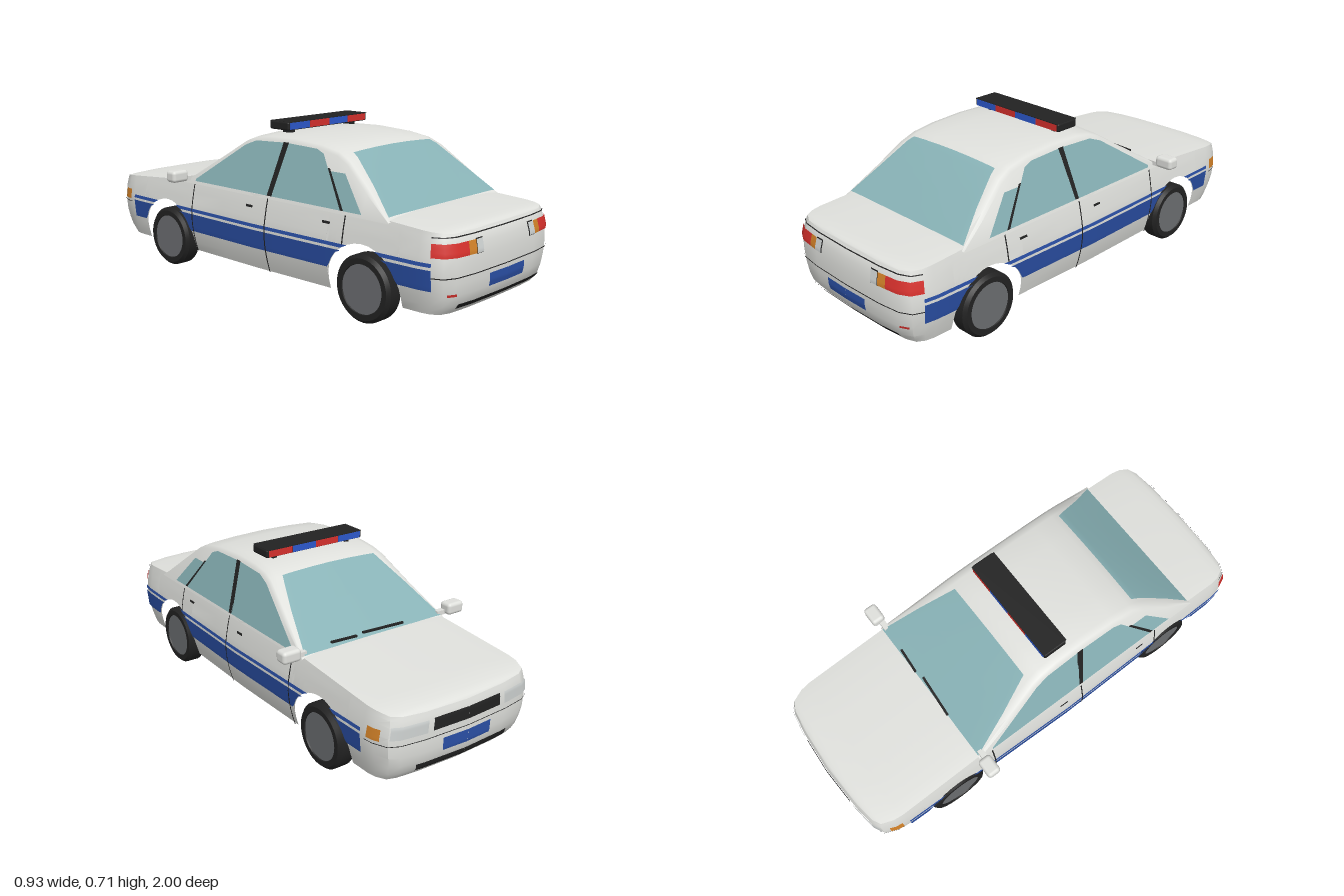
import * as THREE from 'three';
import { toCreasedNormals } from 'three/addons/utils/BufferGeometryUtils.js';
import { RoundedBoxGeometry } from 'three/addons/geometries/RoundedBoxGeometry.js';

const paint = (name, color) => Object.assign(new THREE.MeshStandardMaterial({ color }), { name });
const white = paint('white paint', 0xdfe0dc), black = paint('black trim', 0x222222);
const glass = paint('tinted glass', 0x88b2b6), blue = paint('blue stripe', 0x2a4fa5);
const red = paint('red lamp', 0xd6302c), orange = paint('orange lamp', 0xd08028);
const lampBlue = paint('blue lamp', 0x2c58cc), steel = paint('grey hub', 0x6c6e71);
const clear = paint('clear lamp', 0xcdd1d0);

// Linear lookup in a table of [key, value]
function lookup(table, t) {
  if (t <= table[0][0]) return table[0][1];
  for (let i = 1; i < table.length; i++) {
    const [a, va] = table[i - 1], [b, vb] = table[i];
    if (t <= b) return va + (vb - va) * (t - a) / (b - a);
  }
  return table[table.length - 1][1];
}

// Surface through rows of points
function grid(rows) {
  const n = rows[0].length, index = [];
  for (let i = 0; i < rows.length - 1; i++) for (let j = 0; j < n - 1; j++) {
    const a = i * n + j, d = a + n;
    index.push(a, a + 1, d + 1, a, d + 1, d);
  }
  const g = new THREE.BufferGeometry();
  g.setAttribute('position', new THREE.Float32BufferAttribute(rows.flat(2), 3));
  g.setIndex(index);
  g.computeVertexNormals();
  return g;
}

function mirrored(geo) {
  const g = geo.clone().scale(-1, 1, 1);
  g.setIndex(Array.from(g.index.array).reverse());
  g.computeVertexNormals();
  return g;
}

// Lower body rules: plan outline, width by height, end tuck by height, top and arch lines
const WIDTH = [[-0.85, 0.37], [0, 0.387], [0.85, 0.372]];
const FLARE = [[0.1, 0.93], [0.13, 0.955], [0.2, 1], [0.28, 1.02], [0.36, 0.985], [0.41, 0.955], [0.43, 0.94]];
const TUCK = [[0.1, 0.05], [0.14, 0.015], [0.2, 0], [0.33, 0], [0.38, 0.015], [0.42, 0.04]];
const TOP = [[-1, 0.365], [-0.93, 0.382], [-0.45, 0.42], [0.7, 0.42], [0.95, 0.405], [1, 0.395]];
const WHEEL_Z = [0.59, -0.585], ARCH = 0.175;
const archStations = c => [c + ARCH + 0.001,
  ...Array.from({ length: 17 }, (_, i) => c + ARCH * Math.cos(i * Math.PI / 16)), c - ARCH - 0.001];
const plan = [
  [0, 0.985], [0.2, 0.98], [0.3, 0.968], [0.345, 0.945], [0.365, 0.9], [0.372, 0.85],
  ...[...archStations(WHEEL_Z[0]), 0.2, 0, -0.2, ...archStations(WHEEL_Z[1])].map(z => [lookup(WIDTH, z), z]),
  [0.37, -0.85], [0.363, -0.9], [0.34, -0.955], [0.3, -0.975], [0.2, -0.99], [0, -1]];
const LAST = plan.length - 1;
const inArch = z => WHEEL_Z.find(c => Math.abs(z - c) < ARCH + 0.0005);
function bottom(z) {
  const c = inArch(z);
  return c === undefined ? 0.1 : 0.14 + Math.sqrt(Math.max(0, ARCH ** 2 - (z - c) ** 2));
}
function planAt(u) {
  const k = Math.min(LAST - 1, Math.max(0, Math.floor(u))), t = Math.min(1, Math.max(0, u - k));
  return [0, 1].map(i => plan[k][i] * (1 - t) + plan[k + 1][i] * t);
}
// Point on the lower body at outline position u and height y, pushed out by off
function bodyPoint(u, y, off = 0) {
  const [x, z] = planAt(u), a = planAt(u - 0.4), b = planAt(u + 0.4);
  const tx = b[0] - a[0], tz = b[1] - a[1], l = Math.hypot(tx, tz) || 1;
  const end = Math.max(0, Math.abs(z) - 0.85) / 0.15;
  return [x * lookup(FLARE, y) - off * tz / l, y, z - Math.sign(z) * end * lookup(TUCK, y) + off * tx / l];
}
function uAtZ(z) {
  let k = 0;
  while (k < LAST - 1 && plan[k + 1][1] > z) k++;
  return k + (plan[k][1] - z) / (plan[k][1] - plan[k + 1][1]);
}
function uRear(x) {
  let k = 0;
  while (plan[k + 1][0] < x) k++;
  return k + (x - plan[k][0]) / (plan[k + 1][0] - plan[k][0]);
}
function uFront(x) {
  let k = LAST;
  while (plan[k - 1][0] < x) k--;
  return k - (x - plan[k][0]) / (plan[k - 1][0] - plan[k][0]);
}
// Thin plate hugging the lower body, trimmed at the arches
function patch(u0, u1, y0, y1, off = 0.005) {
  const us = [u0];
  for (let k = Math.floor(u0) + 1; k < u1; k++) us.push(k);
  us.push(u1);
  return grid(Array.from({ length: 9 }, (_, i) => us.map(u => {
    const lo = Math.min(y1, Math.max(y0, bottom(planAt(u)[1])));
    return bodyPoint(u, lo + (y1 - lo) * i / 8, off);
  })));
}

// Cabin rules: roof line, leaning sides, rounded roof edge
const ROOF = [[-0.46, 0.42], [-0.28, 0.535], [-0.13, 0.63], [-0.08, 0.648], [0, 0.66], [0.15, 0.664],
  [0.3, 0.655], [0.4, 0.638], [0.46, 0.61], [0.58, 0.52], [0.71, 0.415]];
const cabinX = y => 0.366 - 0.32 * (y - 0.42);
function roofPoint(z, r, lift = 0, push = 0) {
  const h = lookup(ROOF, z), e = Math.max(0, Math.min(0.02, (h - 0.41) * 0.4)), a = Math.abs(r);
  const c = 0.012 * Math.max(0, h - 0.42) / 0.25;
  const y = a <= 0.88 ? h + c * (1 - (a / 0.88) ** 2) : lookup([[0.88, h], [0.975, h - 0.3 * e], [1, h - e]], a);
  return [r * cabinX(a === 1 ? y : h), y + lift, z + push];
}
const both = half => [...half, ...half.slice(0, -1).reverse().map(v => -v)];
const screen = (stops, push) => grid(stops.map(([z, k]) =>
  both([1, 0.96, 0.9, 0.75, 0.4, 0]).map(r => roofPoint(z, r * k, 0.005, push))));

function sidePlate(points) {
  const g = new THREE.ShapeGeometry(new THREE.Shape(points.map(([z, y]) => new THREE.Vector2(-z, y))));
  const p = g.attributes.position;
  for (let i = 0; i < p.count; i++) p.setXYZ(i, cabinX(p.getY(i)) + 0.004, p.getY(i), -p.getX(i));
  g.computeVertexNormals();
  return g;
}

export function createModel() {
  const car = new THREE.Group();
  car.name = 'patrolCar';
  const add = (name, geo, mat, x = 0, y = 0, z = 0, parent = car) => {
    const m = new THREE.Mesh(geo, mat);
    m.name = name;
    m.position.set(x, y, z);
    parent.add(m);
    return m;
  };
  const pair = (name, geo, mat) => {
    add(name + 'Left', geo, mat);
    add(name + 'Right', mirrored(geo), mat);
  };

  // Body walls, deck and floor
  const walls = [0, 0.04, 0.12, 0.25, 0.4, 0.55, 0.7, 0.85, 0.94, 1].map(t => {
    const half = plan.map(([, z], k) => {
      const b = bottom(z);
      return bodyPoint(k, b + (lookup(TOP, z) - b) * t);
    });
    return [...half, ...half.slice(0, -1).reverse().map(([x, y, z]) => [-x, y, z])];
  });
  add('bodyWalls', toCreasedNormals(grid(walls), 0.7), white);
  const ks = plan.map((_, k) => LAST - k);
  const deck = ks.map(k => {
    const [x, y, z] = bodyPoint(k, lookup(TOP, plan[k][1]));
    return both([1, 0.96, 0.85, 0.5, 0]).map(f => [x * f, y + 0.01 * (1 - f ** 4) * Math.min(1, x / 0.3), z]);
  });
  add('bonnetAndBoot', toCreasedNormals(grid(deck), 0.7), white);
  add('floor', grid(ks.map(k => {
    const [x, y, z] = bodyPoint(k, 0.1), w = inArch(plan[k][1]) === undefined ? x : 0.29;
    return [[-w, y, z], [w, y, z]];
  })), black);

  // Cabin shell and glass
  add('cabin', toCreasedNormals(grid(ROOF.map(([z, h]) => {
    const side = [cabinX(0.41), 0.41, z];
    return [side, ...both([1, 0.975, 0.88, 0.5, 0]).map(r => roofPoint(z, r)), [-side[0], 0.41, z]];
  })), 0.7), white);
  add('windscreen', screen([[-0.455, 0.97], [-0.28, 0.9], [-0.13, 0.8]], -0.003), glass);
  add('rearWindow', screen([[0.43, 0.82], [0.46, 0.84], [0.58, 0.9], [0.695, 0.97]], 0.003), glass);
  pair('frontDoorWindow', sidePlate([[0.075, 0.424], [0.102, 0.64], [-0.06, 0.633], [-0.12, 0.61], [-0.39, 0.433], [-0.39, 0.424]]), glass);
  pair('centrePillar', sidePlate([[0.068, 0.424], [0.095, 0.424], [0.13, 0.642], [0.1, 0.642]]), black);
  pair('rearDoorWindow', sidePlate([[0.095, 0.424], [0.13, 0.64], [0.29, 0.635], [0.33, 0.62], [0.472, 0.424]]), glass);
  pair('windowDivider', sidePlate([[0.472, 0.424], [0.366, 0.57], [0.378, 0.57], [0.488, 0.424]]), black);
  pair('quarterWindow', sidePlate([[0.488, 0.424], [0.384, 0.56], [0.46, 0.56], [0.58, 0.424]]), glass);

  // Stripes, seams and door handles
  pair('wideStripe', patch(uAtZ(0.905), uAtZ(-0.84), 0.195, 0.275), blue);
  pair('thinStripe', patch(uAtZ(0.905), uAtZ(-0.84), 0.286, 0.3), blue);
  for (const [z, y0] of [[0.5, 0.3], [0.08, 0.1], [-0.395, 0.1]])
    pair('doorSeam', patch(uAtZ(z + 0.003), uAtZ(z - 0.003), y0, 0.415, 0.007), black);
  for (const z of [0.41, -0.02]) pair('doorHandle', patch(uAtZ(z + 0.02), uAtZ(z - 0.02), 0.366, 0.376, 0.008), black);
  pair('bootSeam', patch(0, uAtZ(0.9), 0.389, 0.393), black);
  pair('rearBumperSeam', patch(0, uAtZ(0.9), 0.244, 0.248), black);
  pair('frontBumperSeam', patch(uAtZ(-0.86), LAST, 0.262, 0.265), black);

  // Rear lamps, plate and lower trim
  pair('tailLamp', patch(uRear(0.24), uAtZ(0.9), 0.32, 0.37), red);
  pair('rearIndicator', patch(uRear(0.2), uRear(0.24), 0.32, 0.37), orange);
  pair('lampFrame', patch(uRear(0.157), uRear(0.2), 0.317, 0.373, 0.003), black);
  pair('reverseLamp', patch(uRear(0.16), uRear(0.198), 0.32, 0.37, 0.006), clear);
  pair('rearReflector', patch(uRear(0.3), uRear(0.335), 0.175, 0.185), red);
  pair('rearPlate', patch(0, uRear(0.118), 0.178, 0.23, 0.008), blue);
  pair('rearLowerTrim', patch(0, uRear(0.29), 0.12, 0.141), black);

  // Nose grille, plate, intake and corner lamps
  pair('grille', patch(uFront(0.165), LAST, 0.29, 0.34), black);
  pair('frontPlate', patch(uFront(0.118), LAST, 0.192, 0.245), blue);
  pair('frontIntake', patch(uFront(0.235), LAST, 0.13, 0.162), black);
  pair('headlamp', patch(uFront(0.335), uFront(0.19), 0.288, 0.338), clear);
  pair('cornerLamp', patch(uAtZ(-0.87), uAtZ(-0.925), 0.277, 0.322), orange);

  // Wipers and door mirrors
  for (const [x, w] of [[-0.04, 0.2], [0.16, 0.12]])
    add('wiper', new THREE.BoxGeometry(w, 0.008, 0.01), black, x, 0.446, -0.452).rotation.y = -0.07;
  for (const s of [1, -1]) {
    add('mirror', new RoundedBoxGeometry(0.085, 0.052, 0.06, 3, 0.015), white, s * 0.423, 0.447, -0.45);
    add('mirrorArm', new THREE.BoxGeometry(0.05, 0.02, 0.025), white, s * 0.365, 0.432, -0.44);
  }

  // Light bar
  add('lightBar', new RoundedBoxGeometry(0.5, 0.036, 0.11, 2, 0.008), black, 0, 0.698, 0.022);
  for (const s of [1, -1]) add('lightBarFoot', new THREE.BoxGeometry(0.022, 0.03, 0.05), black, s * 0.19, 0.67, 0.022);
  for (let i = 0; i < 4; i++)
    add('beacon', new THREE.BoxGeometry(0.118, 0.028, 0.114), i % 2 ? red : lampBlue, -0.18 + 0.12 * i, 0.698, 0.022);
  add('lightBarLid', new THREE.BoxGeometry(0.49, 0.003, 0.116), black, 0, 0.7145, 0.022);

  // Wheels
  const tyre = toCreasedNormals(new THREE.LatheGeometry([[0.1, -0.036], [0.1, -0.042], [0.122, -0.042], [0.135, -0.028],
    [0.135, 0.028], [0.122, 0.042], [0.1, 0.042], [0.098, 0.036]].map(p => new THREE.Vector2(...p)), 36), 0.5);
  const disc = new THREE.CircleGeometry(0.1, 36);
  for (const z of WHEEL_Z) for (const s of [1, -1]) {
    const wheel = new THREE.Group();
    wheel.name = 'wheel';
    wheel.position.set(s * 0.336, 0.137, z);
    wheel.rotation.z = -s * Math.PI / 2;
    add('tyre', tyre, black, 0, 0, 0, wheel);
    add('hub', disc, steel, 0, 0.037, 0, wheel).rotation.x = -Math.PI / 2;
    add('innerHub', disc, glass, 0, -0.037, 0, wheel).rotation.x = Math.PI / 2;
    car.add(wheel);
  }
  return car;
}
